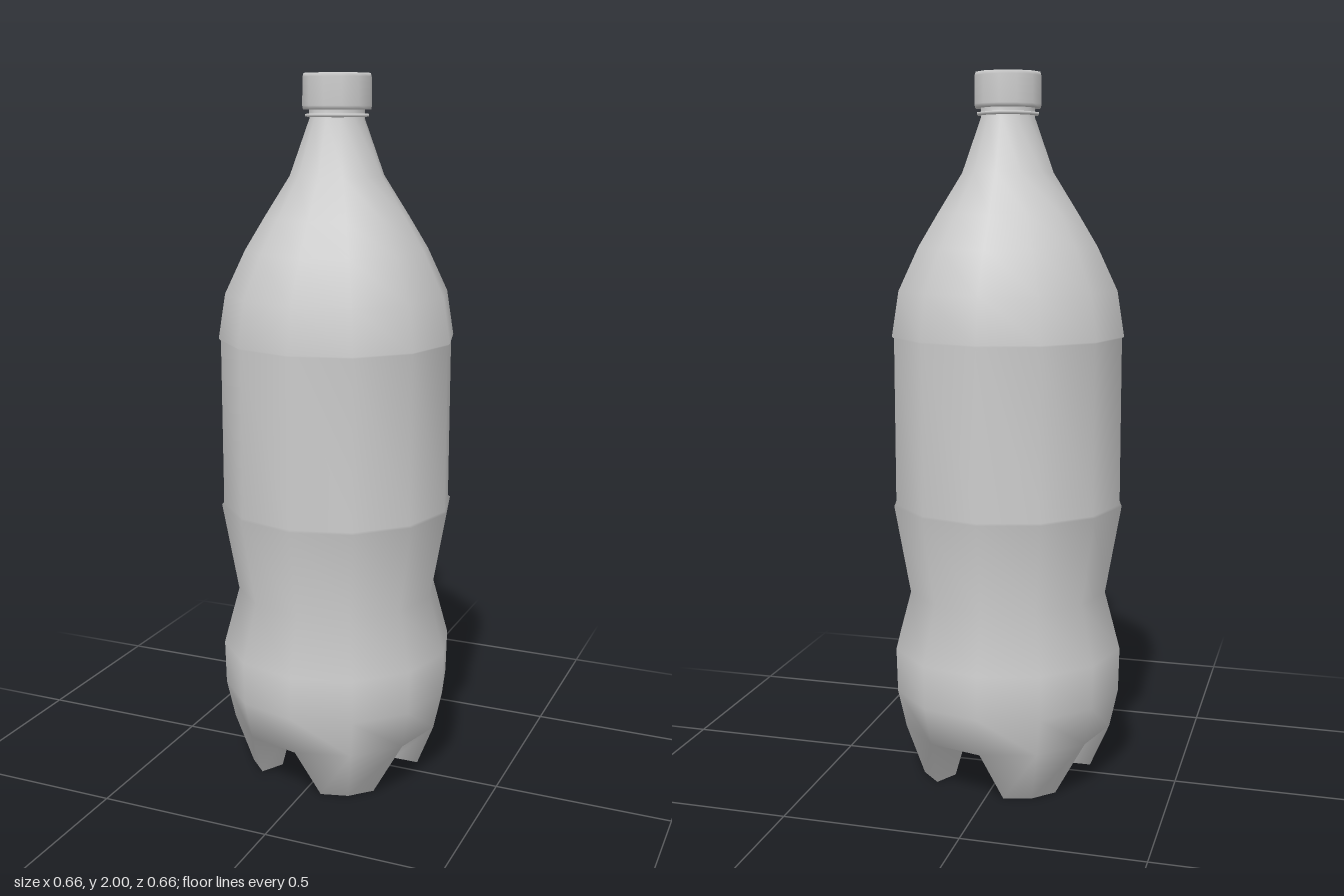
import * as THREE from 'three';
import { mergeGeometries, mergeVertices } from 'three/addons/utils/BufferGeometryUtils.js';

const SIDES = 12;
const BASE_Y = 0.15, BASE_R = 0.305, INNER_R = 0.16;

const polar = (r, deg, y) => {
  const a = THREE.MathUtils.degToRad(deg);
  return new THREE.Vector3(r * Math.sin(a), y, r * Math.cos(a));
};

const lathe = (profile) =>
  new THREE.LatheGeometry(profile.map(([r, y]) => new THREE.Vector2(r, y)), SIDES);

// Underside: four tapered feet, each two segments wide, with one-segment notches between
function baseGeometry() {
  const pos = [];
  const tri = (...pts) => pts.forEach((p) => pos.push(p.x, p.y, p.z));
  const quad = (a, b, c, d) => { tri(a, b, c); tri(a, c, d); };

  for (let k = 0; k < 4; k++) {
    const a = k * 90;
    const top = [
      polar(BASE_R, a, BASE_Y), polar(BASE_R, a + 30, BASE_Y), polar(BASE_R, a + 60, BASE_Y),
      polar(INNER_R, a + 60, BASE_Y), polar(INNER_R, a + 30, BASE_Y), polar(INNER_R, a, BASE_Y),
    ];
    const centre = polar(0.2, a + 30, BASE_Y);
    const low = top.map((p) => p.clone().lerp(centre, 0.5).setY(0));

    // foot walls and sole
    for (let i = 0; i < 6; i++) {
      const j = (i + 1) % 6;
      quad(low[i], low[j], top[j], top[i]);
    }
    quad(low[0], low[5], low[4], low[1]);
    quad(low[1], low[4], low[3], low[2]);

    // notch ceiling and the middle of the underside
    quad(polar(BASE_R, a + 60, BASE_Y), polar(INNER_R, a + 60, BASE_Y),
      polar(INNER_R, a + 90, BASE_Y), polar(BASE_R, a + 90, BASE_Y));
    for (let s = 0; s < 90; s += 30) {
      tri(new THREE.Vector3(0, BASE_Y, 0), polar(INNER_R, a + s + 30, BASE_Y), polar(INNER_R, a + s, BASE_Y));
    }
  }
  const geo = new THREE.BufferGeometry();
  geo.setAttribute('position', new THREE.Float32BufferAttribute(pos, 3));
  return geo;
}

export function createModel() {
  const group = new THREE.Group();
  const material = new THREE.MeshStandardMaterial({ color: 0xcccccc });
  const add = (name, geometry) => {
    const mesh = new THREE.Mesh(geometry, material);
    mesh.name = name;
    group.add(mesh);
  };

  // Bottle wall: waist, slightly recessed label band, shoulder and neck
  const wall = lathe([
    [BASE_R, BASE_Y], [0.329, 0.26], [0.332, 0.385], [0.287, 0.55],
    [0.332, 0.805], [0.326, 0.81], [0.326, 1.28], [0.332, 1.285],
    [0.312, 1.41], [0.255, 1.53], [0.2, 1.62], [0.13, 1.73],
    [0.076, 1.88], [0.076, 1.91],
  ]).toNonIndexed();
  wall.deleteAttribute('normal');
  wall.deleteAttribute('uv');
  const body = mergeVertices(mergeGeometries([wall, baseGeometry()]), 1e-4);
  body.computeVertexNormals();
  add('bottleBody', body);

  // Thin collar under the cap
  add('neckRing', lathe([[0.07, 1.884], [0.087, 1.886], [0.087, 1.893], [0.07, 1.895]]));

  // Screw cap
  add('cap', lathe([[0, 1.905], [0.093, 1.905], [0.095, 1.915], [0.094, 1.99], [0.091, 2], [0, 2]]));

  return group;
}
